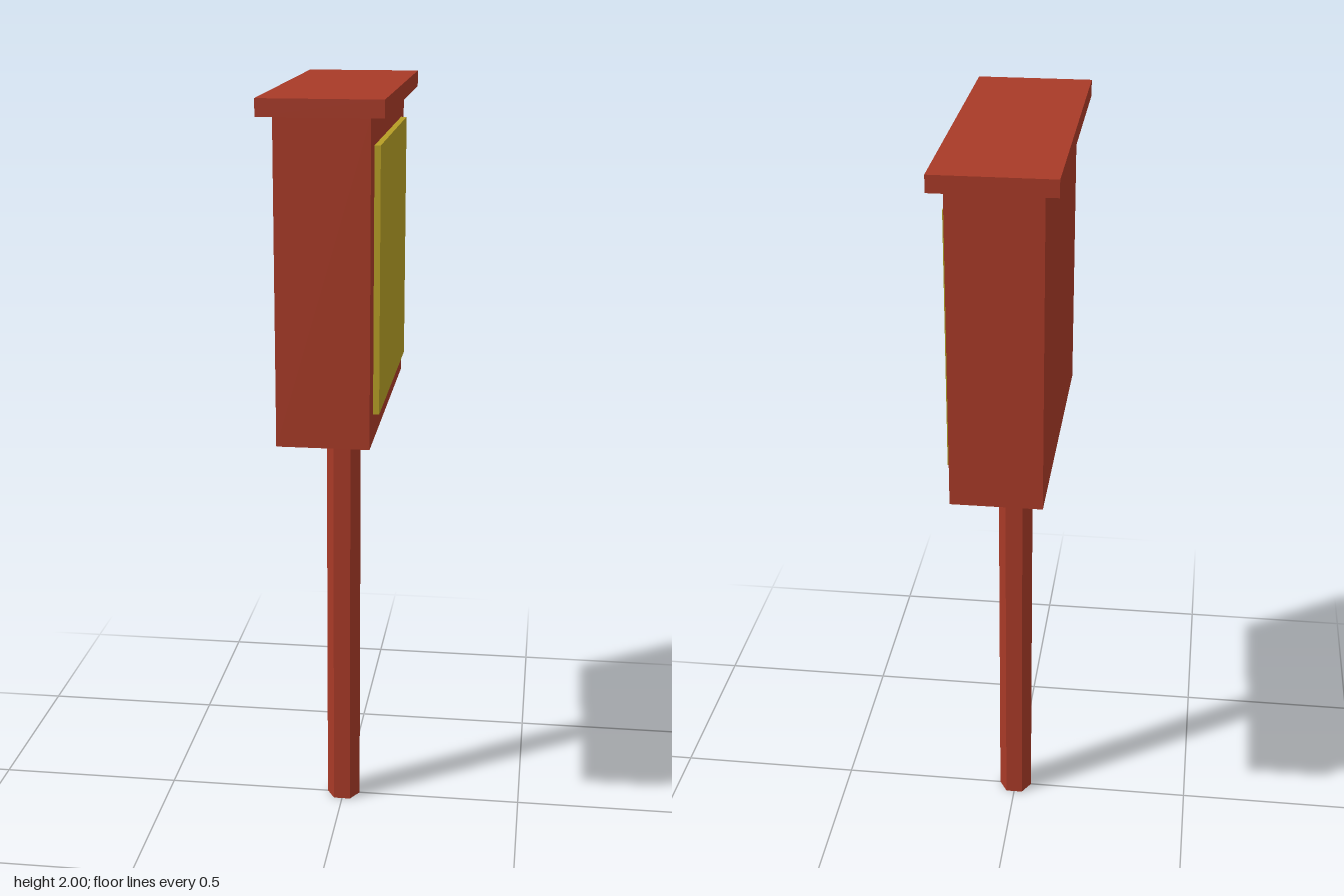
import * as THREE from 'three';

export function createModel() {
  const model = new THREE.Group();
  const red = new THREE.MeshStandardMaterial({ color: 0xa83a27 });
  red.name = 'barnRed';
  const yellow = new THREE.MeshStandardMaterial({ color: 0xb69e25 });
  yellow.name = 'mustardYellow';

  const add = (name, geometry, material, x, y, z = 0) => {
    const mesh = new THREE.Mesh(geometry, material);
    mesh.name = name;
    mesh.position.set(x, y, z);
    model.add(mesh);
  };

  // Six-sided post with flat faces, corners pointing along x
  const postGeometry = new THREE.CylinderGeometry(0.046, 0.046, 1.16, 6, 1, false, Math.PI / 6).toNonIndexed();
  postGeometry.computeVertexNormals();
  add('post', postGeometry, red, 0, 0.58);

  // Cabinet and its overhanging lid
  add('cabinet', new THREE.BoxGeometry(0.23, 0.8, 0.8), red, 0, 1.56);
  add('roof', new THREE.BoxGeometry(0.3, 0.042, 0.866), red, 0, 1.979);

  // Raised panel on the left side
  add('panel', new THREE.BoxGeometry(0.016, 0.656, 0.652), yellow, 0.122, 1.557);

  return model;
}
